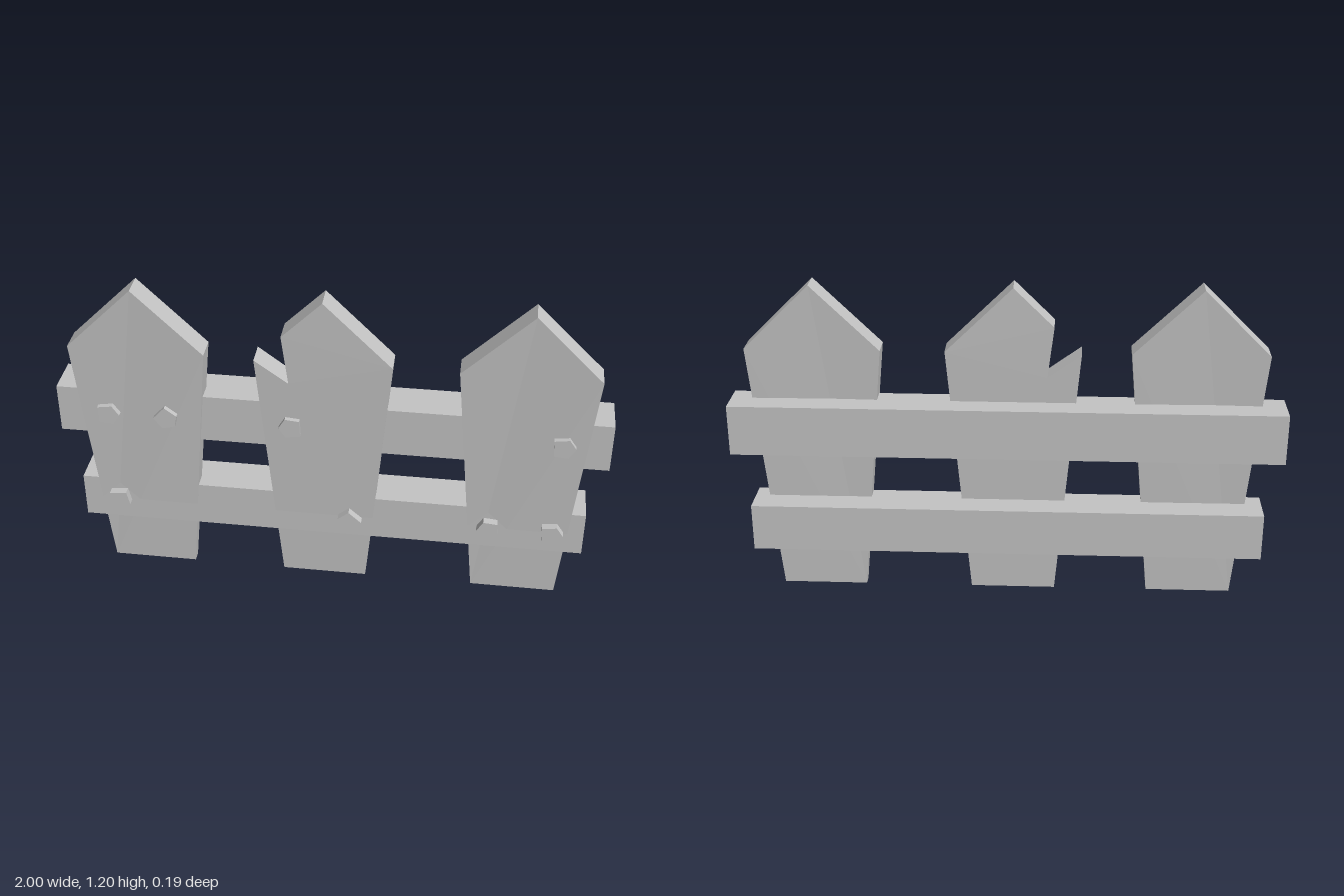
import * as THREE from 'three';

const grey = new THREE.MeshStandardMaterial({ color: 0xc4c4c4, flatShading: true });
grey.name = 'weathered grey';

const SHOULDER = 0.963;

const toShape = (points) => new THREE.Shape(points.map(([x, y]) => new THREE.Vector2(x, y)));

// Plank from an outline, thinning towards its foot
function plank(name, outline) {
  const geo = new THREE.ExtrudeGeometry(toShape(outline), { depth: 1, bevelEnabled: false });
  const pos = geo.attributes.position;
  for (let i = 0; i < pos.count; i++) {
    const t = Math.min(pos.getY(i) / SHOULDER, 1);
    const back = THREE.MathUtils.lerp(0.016, -0.01, t);
    const front = THREE.MathUtils.lerp(0.056, 0.083, t);
    pos.setZ(i, pos.getZ(i) > 0.5 ? front : back);
  }
  geo.computeVertexNormals();
  const mesh = new THREE.Mesh(geo, grey);
  mesh.name = name;
  return mesh;
}

function rail(name, halfLength, y0, y1, z0, z1) {
  const mesh = new THREE.Mesh(new THREE.BoxGeometry(halfLength * 2, y1 - y0, z1 - z0), grey);
  mesh.position.set(0, (y0 + y1) / 2, (z0 + z1) / 2);
  mesh.name = name;
  return mesh;
}

export function createModel() {
  const fence = new THREE.Group();
  fence.name = 'fence';

  // Pointed planks, the middle one split near its shoulder
  fence.add(
    plank('rightPlank', [[-0.845, 0], [-0.53, 0], [-0.443, SHOULDER], [-0.688, 1.203], [-0.932, SHOULDER]]),
    plank('splitPlank', [[-0.18, 0], [0.135, 0], [0.221, SHOULDER], [-0.023, 1.203],
      [-0.168, 1.06], [-0.145, 0.87], [-0.266, 0.958]]),
    plank('leftPlank', [[0.54, 0], [0.855, 0], [0.94, SHOULDER], [0.696, 1.203], [0.452, SHOULDER]])
  );

  // Rails behind the planks
  fence.add(
    rail('upperRail', 1, 0.585, 0.773, -0.093, 0.06),
    rail('lowerRail', 0.94, 0.199, 0.376, -0.091, 0.064)
  );

  // Rough five-sided nail heads: x, y, turn in degrees
  const nails = [
    [-0.805, 0.686, 0], [-0.591, 0.684, -45], [-0.144, 0.686, 180], [0.835, 0.686, 0],
    [-0.799, 0.292, -86], [0.07, 0.275, -135], [0.586, 0.292, 180], [0.825, 0.292, 0],
  ];
  const head = toShape([[-0.04, 0.031], [-0.037, -0.033], [0.015, -0.038], [0.039, 0.002], [0.014, 0.039]]);
  const nailGeo = new THREE.ExtrudeGeometry(head, { depth: 0.035, bevelEnabled: false });
  nails.forEach(([x, y, turn], i) => {
    const nail = new THREE.Mesh(nailGeo, grey);
    nail.position.set(x, y, 0.059);
    nail.rotation.z = THREE.MathUtils.degToRad(turn);
    nail.name = `nail${i + 1}`;
    fence.add(nail);
  });

  return fence;
}
